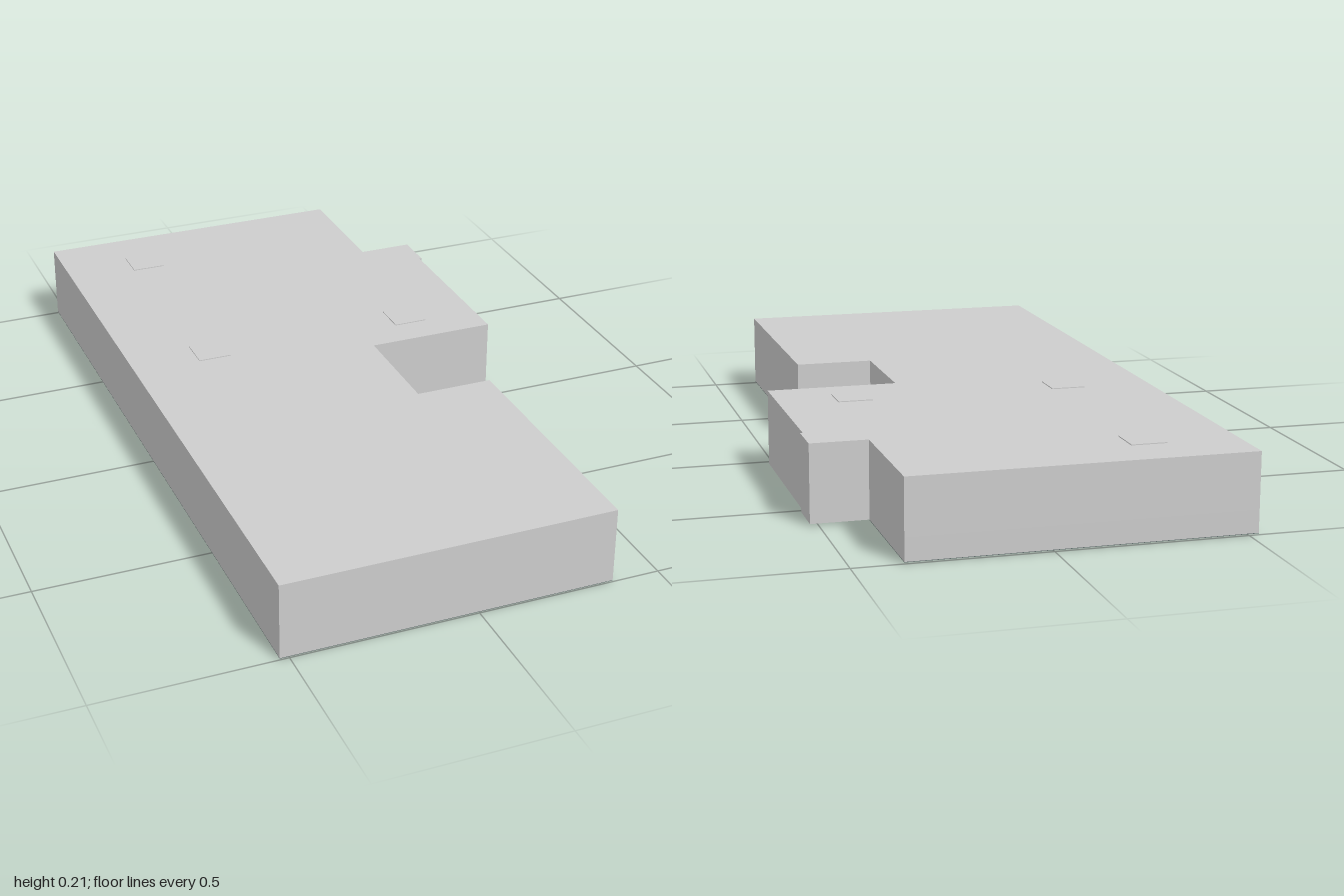
import * as THREE from 'three';

const wallGrey = new THREE.MeshStandardMaterial({ color: 0xcccccc });
wallGrey.name = 'wallGrey';
const darkSlate = new THREE.MeshStandardMaterial({ color: 0x667272 });
darkSlate.name = 'darkSlate';

// Plan outline given as [x, z] points
const plan = (points, Type = THREE.Shape) =>
  new Type(points.map(([x, z]) => new THREE.Vector2(x, -z)));

const rect = (x0, x1, z0, z1) => [[x0, z0], [x1, z0], [x1, z1], [x0, z1]];

export function createModel() {
  const group = new THREE.Group();

  // Raise a plan outline from y0 to y1
  function slab(name, points, y0, y1, material, holes = []) {
    const shape = plan(points);
    shape.holes = holes.map((h) => plan(h, THREE.Path));
    const geometry = new THREE.ExtrudeGeometry(shape, { depth: y1 - y0, bevelEnabled: false });
    geometry.rotateX(-Math.PI / 2).translate(0, y0, 0);
    const mesh = new THREE.Mesh(geometry, material);
    mesh.name = name;
    group.add(mesh);
  }

  // Building volume, with two small recesses under the side bay
  const outline = [
    [-0.525, -1], [0.37, -1], [0.37, -0.64], [0.522, -0.64], [0.522, -0.53],
    [0.515, -0.53], [0.515, -0.04], [0.155, -0.04], [0.155, 0.27], [0.37, 0.27],
    [0.37, 1], [-0.525, 1],
  ];
  const recesses = [rect(0.435, 0.497, -0.35, -0.16), rect(0.35, 0.42, -0.13, -0.06)];
  slab('lowerWalls', outline, 0.005, 0.065, wallGrey, recesses);
  slab('upperWallsAndRoof', outline, 0.065, 0.212, wallGrey);

  // Dark floor under the main rooms, leaving the bay bare
  const floor = [
    [-0.525, -1], [0.37, -1], [0.37, -0.64], [0.155, -0.64],
    [0.155, 0.27], [0.37, 0.27], [0.37, 1], [-0.525, 1],
  ];
  slab('floor', floor, 0.0035, 0.005, darkSlate);

  // Square ceiling fittings just proud of the roof
  for (const [x, z] of [[-0.285, -0.82], [-0.29, -0.18], [0.31, -0.18]]) {
    slab('ceilingFitting', rect(x - 0.047, x + 0.047, z - 0.047, z + 0.047), 0.211, 0.2145, wallGrey);
  }

  // Door bottoms just below the floor
  slab('backDoor', rect(-0.01, 0.1, -0.645, -0.63), 0, 0.005, wallGrey);
  slab('innerDoor', rect(-0.085, -0.06, -0.47, -0.36), 0, 0.005, wallGrey);
  slab('bayDoor', rect(0.145, 0.17, -0.47, -0.36), 0, 0.005, wallGrey);

  return group;
}
